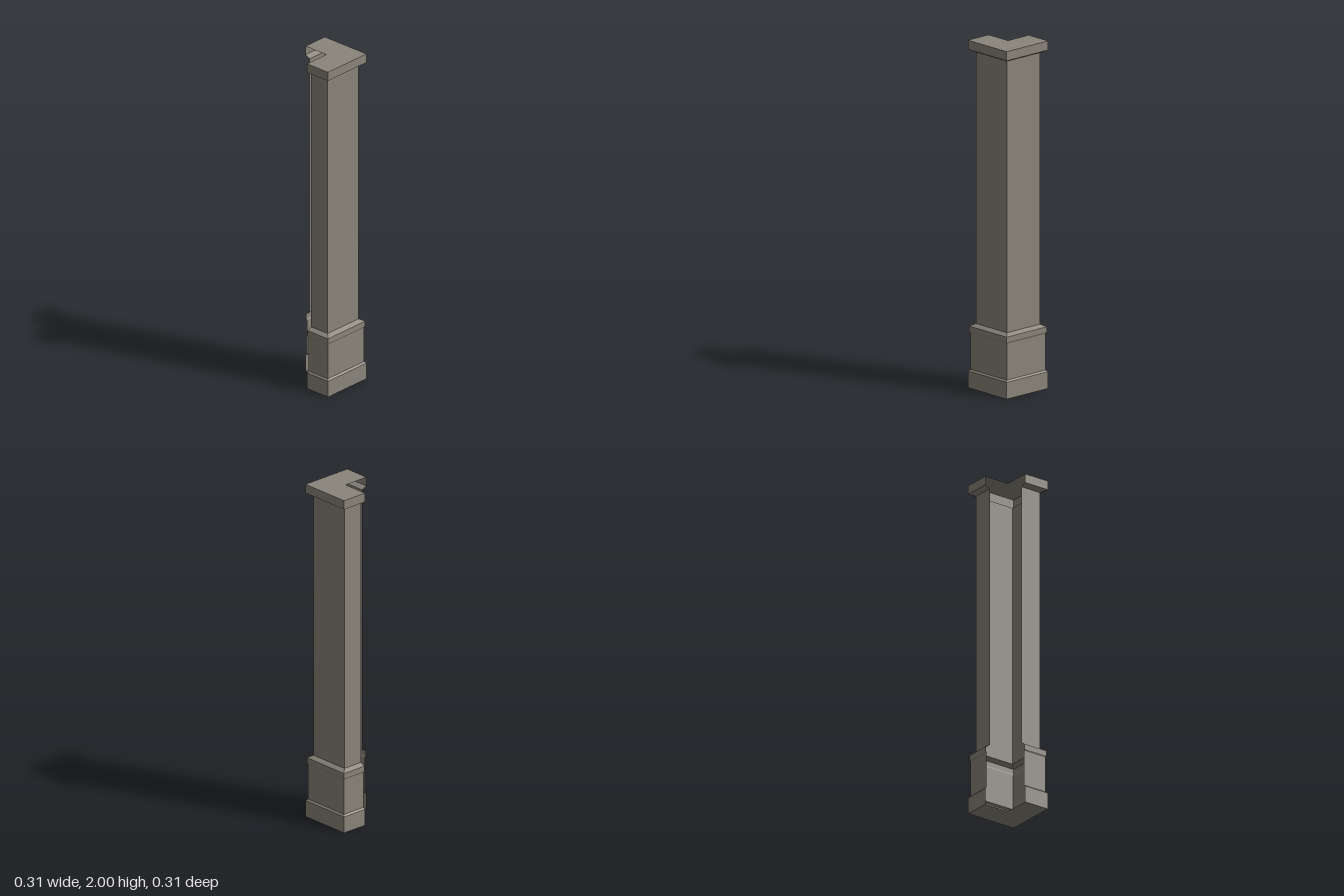
import * as THREE from 'three';

const stone = new THREE.MeshStandardMaterial({ color: 0x8b857b, side: THREE.DoubleSide });
stone.name = 'warm grey stone';

// Corner pilaster plan: outer faces only, open on the two sides that fit the wall corner
const plan = (r) => [[-r, 0], [-r, -r], [r, -r], [r, r], [0, r]];

// Sweep a profile of [half width, height] points around the plan, with flat faces
function wrap(name, profile) {
  const pos = [];
  for (let i = 0; i < profile.length - 1; i++) {
    const [r0, y0] = profile[i], [r1, y1] = profile[i + 1];
    const low = plan(r0), high = plan(r1);
    for (let k = 0; k < 4; k++) {
      const a = [low[k + 1][0], y0, low[k + 1][1]];
      const b = [low[k][0], y0, low[k][1]];
      const c = [high[k][0], y1, high[k][1]];
      const d = [high[k + 1][0], y1, high[k + 1][1]];
      pos.push(...a, ...b, ...c, ...a, ...c, ...d);
    }
  }
  const geo = new THREE.BufferGeometry();
  geo.setAttribute('position', new THREE.Float32BufferAttribute(pos, 3));
  geo.computeVertexNormals();
  const mesh = new THREE.Mesh(geo, stone);
  mesh.name = name;
  return mesh;
}

// Flat L-shaped end plate, facing up (dir 1) or down (dir -1)
function endPlate(name, r, y, dir) {
  const points = [...plan(r), [0, 0]].map(([x, z]) => new THREE.Vector2(x, -dir * z));
  const geo = new THREE.ShapeGeometry(new THREE.Shape(points));
  geo.rotateX(-dir * Math.PI / 2);
  const mesh = new THREE.Mesh(geo, stone);
  mesh.name = name;
  mesh.position.y = y;
  return mesh;
}

export function createModel() {
  const group = new THREE.Group();
  group.name = 'cornerPilaster';
  group.add(
    endPlate('baseUnderside', 0.157, 0, -1),
    wrap('base', [[0.157, 0], [0.157, 0.097], [0.147, 0.106]]),
    wrap('pedestal', [[0.147, 0.106], [0.147, 0.315]]),
    wrap('moulding', [[0.147, 0.315], [0.152, 0.325], [0.152, 0.355], [0.126, 0.37]]),
    wrap('shaft', [[0.126, 0.37], [0.126, 1.932]]),
    wrap('cap', [[0.126, 1.932], [0.157, 1.947], [0.157, 2]]),
    endPlate('capTop', 0.157, 2, 1),
  );
  return group;
}
